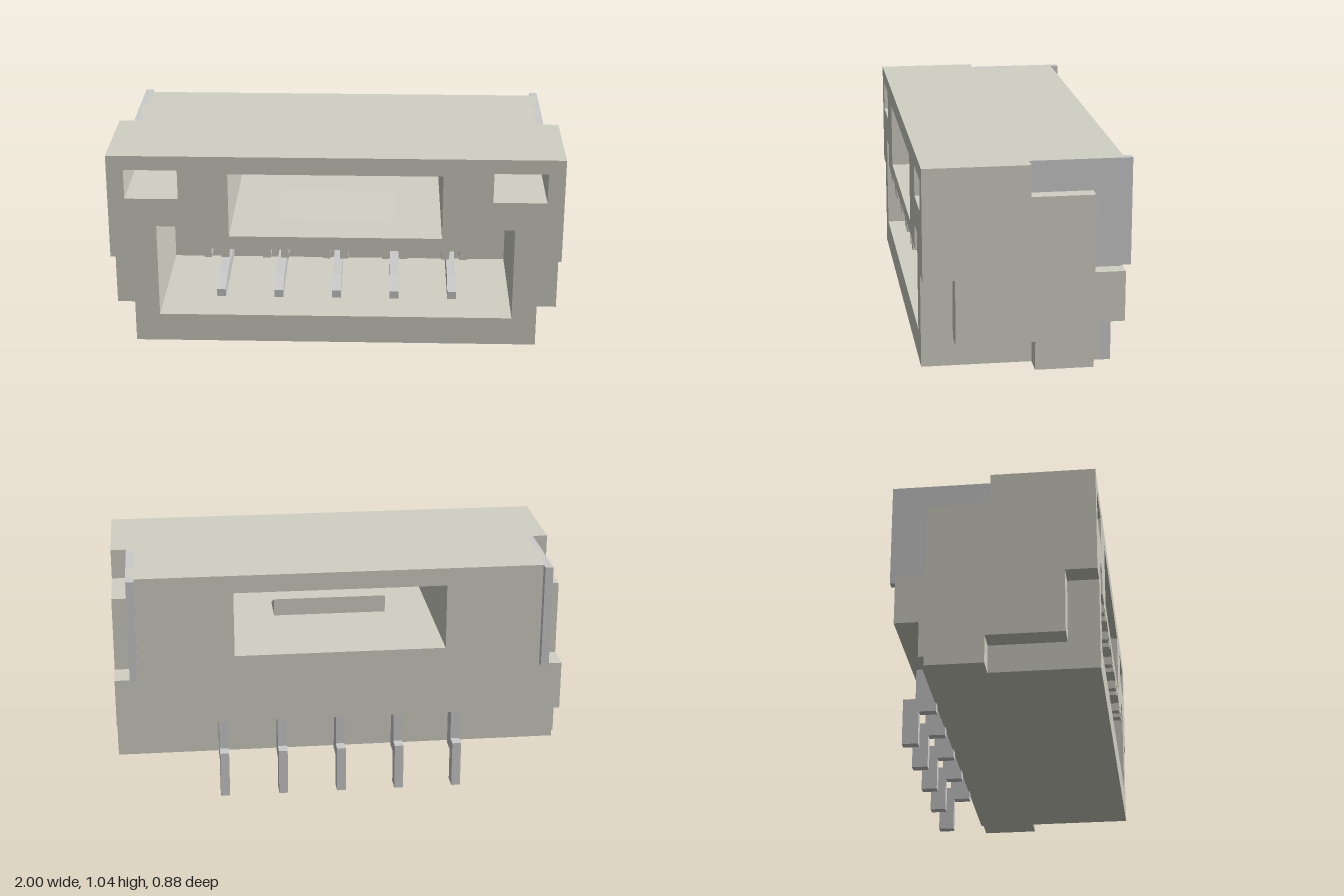
import * as THREE from 'three';

const plastic = new THREE.MeshStandardMaterial({ color: 0xd0d0c4 });
const metal = new THREE.MeshStandardMaterial({ color: 0xcccccc });
const PIN_X = [-2, -1, 0, 1, 2].map(i => i * 0.263);

const path = (pts, Type = THREE.Shape) => new Type(pts.map(p => new THREE.Vector2(...p)));
const rect = (x0, x1, y0, y1) => path([[x0, y0], [x1, y0], [x1, y1], [x0, y1]], THREE.Path);

// Extrudes a (z, y) profile across x, centred on the given x
function sideProfile(name, pts, width, x, material) {
  const geo = new THREE.ExtrudeGeometry(path(pts), { depth: width, bevelEnabled: false });
  geo.translate(0, 0, -width / 2);
  geo.rotateY(-Math.PI / 2);
  const mesh = new THREE.Mesh(geo, material);
  mesh.name = name;
  mesh.position.x = x;
  return mesh;
}

// Mirrored housing outline, with optional narrow lower and upper sides
function outline(bottom, lowStep, highStep) {
  const right = [];
  if (lowStep) right.push([0.9, bottom], [0.9, lowStep], [1, lowStep]);
  else right.push([1, bottom]);
  if (highStep) right.push([1, highStep], [0.93, highStep], [0.93, 1.04]);
  else right.push([1, 1.04]);
  return path([...right, ...right.map(([x, y]) => [-x, y]).reverse()]);
}

// Plug cavity: raised corners, and a pair of small ribs beside each contact
function cavity() {
  const pts = [[-0.79, 0.28], [0.79, 0.28], [0.79, 0.71], [0.68, 0.71], [0.68, 0.605]];
  for (const x of [...PIN_X].reverse()) {
    for (const [a, b] of [[0.057, 0.022], [-0.022, -0.057]]) {
      pts.push([x + a, 0.605], [x + a, 0.565], [x + b, 0.565], [x + b, 0.605]);
    }
  }
  pts.push([-0.68, 0.605], [-0.68, 0.71], [-0.79, 0.71]);
  return path(pts, THREE.Path);
}

function createHousing() {
  const group = new THREE.Group();
  group.name = 'housing';
  // back z, front z, bottom y, low step, high step, has cavity, has pockets
  const slabs = [
    [0.305, 0.44, 0.15, 0.56, 0, true, true],
    [-0.01, 0.305, 0.15, 0.275, 0, true, true],
    [-0.03, -0.01, 0.15, 0.275, 0.905, true, false],
    [-0.2, -0.03, 0.15, 0, 0.905, true, false],
    [-0.28, -0.2, 0.15, 0, 0.905, false, false],
    [-0.305, -0.28, 0.19, 0, 0.57, false, false],
    [-0.41, -0.305, 0.35, 0, 0.57, false, false],
  ];
  for (const [z0, z1, bottom, low, high, hasCavity, hasPockets] of slabs) {
    const shape = outline(bottom, low, high);
    shape.holes.push(rect(-0.47, 0.47, 0.665, 0.96));
    if (hasCavity) shape.holes.push(cavity());
    if (hasPockets) shape.holes.push(rect(0.69, 0.925, 0.84, 0.975), rect(-0.925, -0.69, 0.84, 0.975));
    const geo = new THREE.ExtrudeGeometry(shape, { depth: z1 - z0, bevelEnabled: false });
    const mesh = new THREE.Mesh(geo, plastic);
    mesh.name = 'housingSection';
    mesh.position.z = z0;
    group.add(mesh);
  }
  return group;
}

export function createModel() {
  const model = new THREE.Group();
  model.name = 'pinHeader';
  model.add(createHousing());

  // Latch ramp on the window floor
  model.add(sideProfile('latchRamp', [[0.07, 0.66], [0.25, 0.66], [0.25, 0.665], [0.07, 0.745]], 0.52, 0, plastic));

  // Forked contacts with a stepped tail behind the housing
  const contact = [
    [-0.445, 0], [-0.375, 0], [-0.375, 0.15], [-0.3, 0.15], [-0.3, 0.295],
    [0.28, 0.295], [0.28, 0.33], [0.17, 0.362], [-0.1, 0.362], [-0.1, 0.5],
    [0.12, 0.5], [0.25, 0.585], [0.25, 0.604], [-0.3, 0.604],
    [-0.39, 0.55], [-0.39, 0.21], [-0.445, 0.21],
  ];
  for (const x of PIN_X) model.add(sideProfile('contactPin', contact, 0.04, x, metal));

  // L-shaped side plates that stick out slightly at the back
  const plate = [[-0.445, 0.575], [-0.28, 0.575], [-0.28, 0.905], [-0.01, 0.905], [-0.01, 1.04], [-0.445, 1.04]];
  for (const s of [-1, 1]) model.add(sideProfile('sidePlate', plate, 0.036, s * 0.915, metal));

  return model;
}
